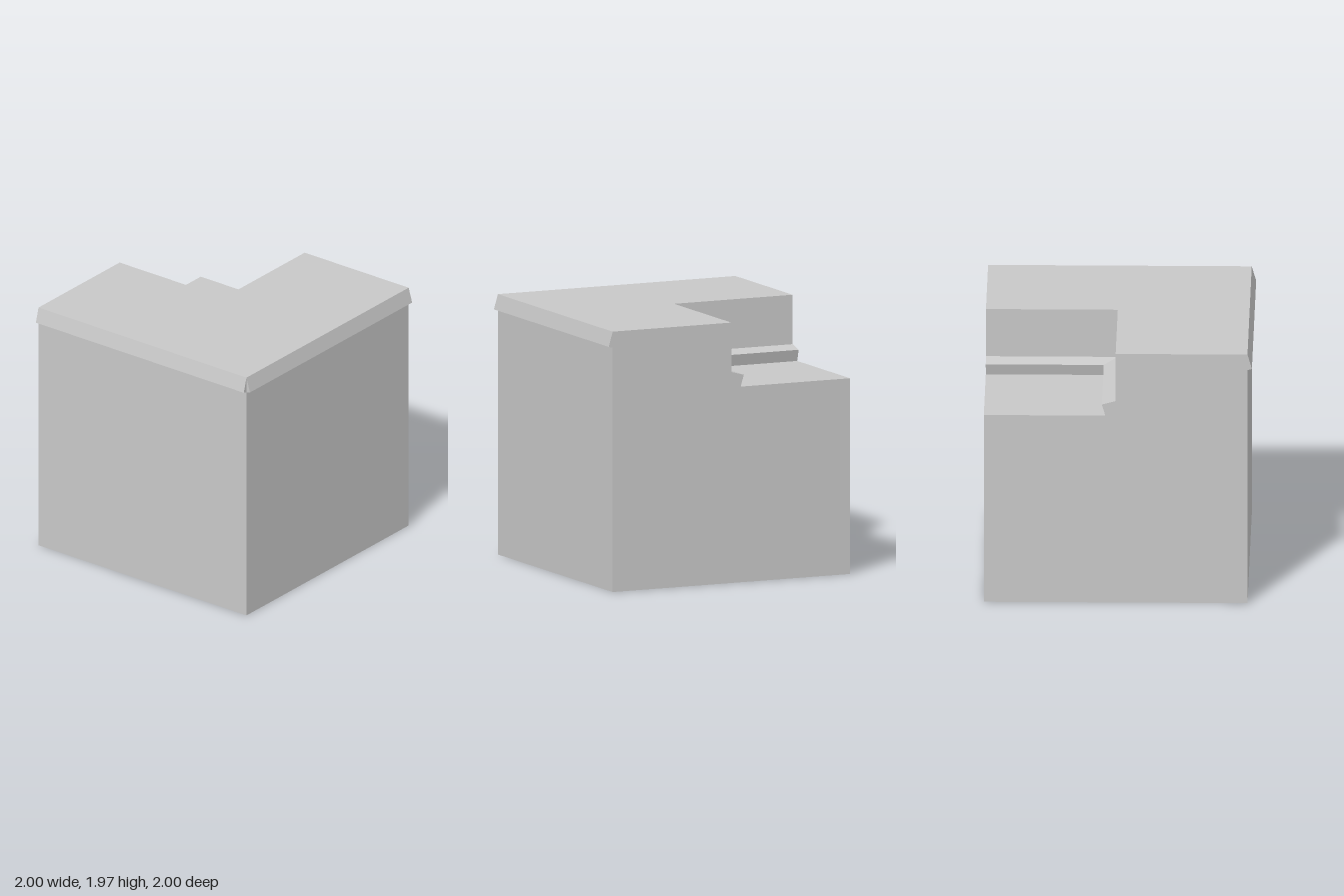
import * as THREE from 'three';

const W = 0.967;               // outer wall distance on the lipped sides
const TOP = 1.967;
const CX = 0.0165, CZ = -0.0165; // inner corner of the notch
// Profiles as [offset from wall, height], top to bottom
const lip = [[0, TOP], [0.033, 1.854], [0, 1.845]];
const step = [[0, TOP], [0, 1.594], [0.103, 1.566], [0.077, 1.478]];
const [floorU, floorY] = step[step.length - 1];

// Triangulates flat polygons, each wound so that it faces its outward direction
function facesGeometry(faces) {
  const out = [];
  for (const [outward, corners] of faces) {
    const pts = corners.map((c) => new THREE.Vector3(...c));
    const n = new THREE.Vector3();
    pts.forEach((p, i) => n.add(p.clone().cross(pts[(i + 1) % pts.length])));
    if (n.dot(new THREE.Vector3(...outward)) < 0) { pts.reverse(); n.negate(); }
    const size = n.toArray().map(Math.abs);
    const k = size.indexOf(Math.max(...size));
    let a = (k + 1) % 3, b = (k + 2) % 3;
    if (n.getComponent(k) < 0) [a, b] = [b, a];
    const flat = pts.map((p) => new THREE.Vector2(p.getComponent(a), p.getComponent(b)));
    for (const tri of THREE.ShapeUtils.triangulateShape(flat, [])) {
      for (const i of tri) out.push(...pts[i].toArray());
    }
  }
  const g = new THREE.BufferGeometry();
  g.setAttribute('position', new THREE.Float32BufferAttribute(out, 3));
  g.computeVertexNormals();
  return g;
}

export function createModel() {
  const group = new THREE.Group();
  const grey = new THREE.MeshStandardMaterial({ color: 0xc8c8c8 });
  grey.name = 'stone grey';
  const add = (name, faces) => {
    const mesh = new THREE.Mesh(facesGeometry(faces), grey);
    mesh.name = name;
    group.add(mesh);
  };
  const lipBase = lip[2][1];

  // Block: walls, underside, L-shaped top and lower floor
  add('block', [
    [[0, -1, 0], [[-W, 0, -1], [1, 0, -1], [1, 0, W], [-W, 0, W]]],
    [[0, 0, 1], [[-W, 0, W], [1, 0, W], [1, lipBase, W], [-W, lipBase, W]]],
    [[-1, 0, 0], [[-W, 0, -1], [-W, 0, W], [-W, lipBase, W], [-W, lipBase, -1]]],
    [[1, 0, 0], [[1, 0, -1], [1, 0, W], ...[...lip].reverse().map(([u, y]) => [1, y, W + u]),
      ...step.map(([u, y]) => [1, y, CZ - u]), [1, floorY, -1]]],
    [[0, 0, -1], [[1, 0, -1], [-W, 0, -1], ...[...lip].reverse().map(([u, y]) => [-W - u, y, -1]),
      ...step.map(([u, y]) => [CX + u, y, -1]), [1, floorY, -1]]],
    [[0, 1, 0], [[-W, TOP, -1], [-W, TOP, W], [1, TOP, W], [1, TOP, CZ], [CX, TOP, CZ], [CX, TOP, -1]]],
    [[0, 1, 0], [[CX + floorU, floorY, -1], [1, floorY, -1],
      [1, floorY, CZ - floorU], [CX + floorU, floorY, CZ - floorU]]],
  ]);

  // Sloping lips along the front and right edges, each with an end cap at the corner
  const frontLip = [[[-1, 0, 0], lip.map(([u, y]) => [-W, y, W + u])]];
  const sideLip = [[[0, 0, 1], lip.map(([u, y]) => [-W - u, y, W])]];
  for (let i = 0; i < 2; i++) {
    const [u, y] = lip[i], [v, h] = lip[i + 1];
    const tilt = i ? -1 : 0.1;
    frontLip.push([[0, tilt, i ? 0 : 1], [[-W, y, W + u], [1, y, W + u], [1, h, W + v], [-W, h, W + v]]]);
    sideLip.push([[i ? 0 : -1, tilt, 0], [[-W - u, y, -1], [-W - u, y, W], [-W - v, h, W], [-W - v, h, -1]]]);
  }
  add('frontLip', frontLip);
  add('rightLip', sideLip);

  // Notch walls with a mitred, undercut ledge
  const arms = [[], []];
  for (let i = 0; i < step.length - 1; i++) {
    const [u, y] = step[i], [v, h] = step[i + 1];
    const ledge = v > u; // sloping upper face of the ledge
    arms[0].push([ledge ? [0, 1, 0] : [0, 0, -1],
      [[CX + u, y, CZ - u], [1, y, CZ - u], [1, h, CZ - v], [CX + v, h, CZ - v]]]);
    arms[1].push([ledge ? [0, 1, 0] : [1, 0, 0],
      [[CX + u, y, CZ - u], [CX + u, y, -1], [CX + v, h, -1], [CX + v, h, CZ - v]]]);
  }
  add('notchFrontLedge', arms[0]);
  add('notchSideLedge', arms[1]);
  return group;
}
